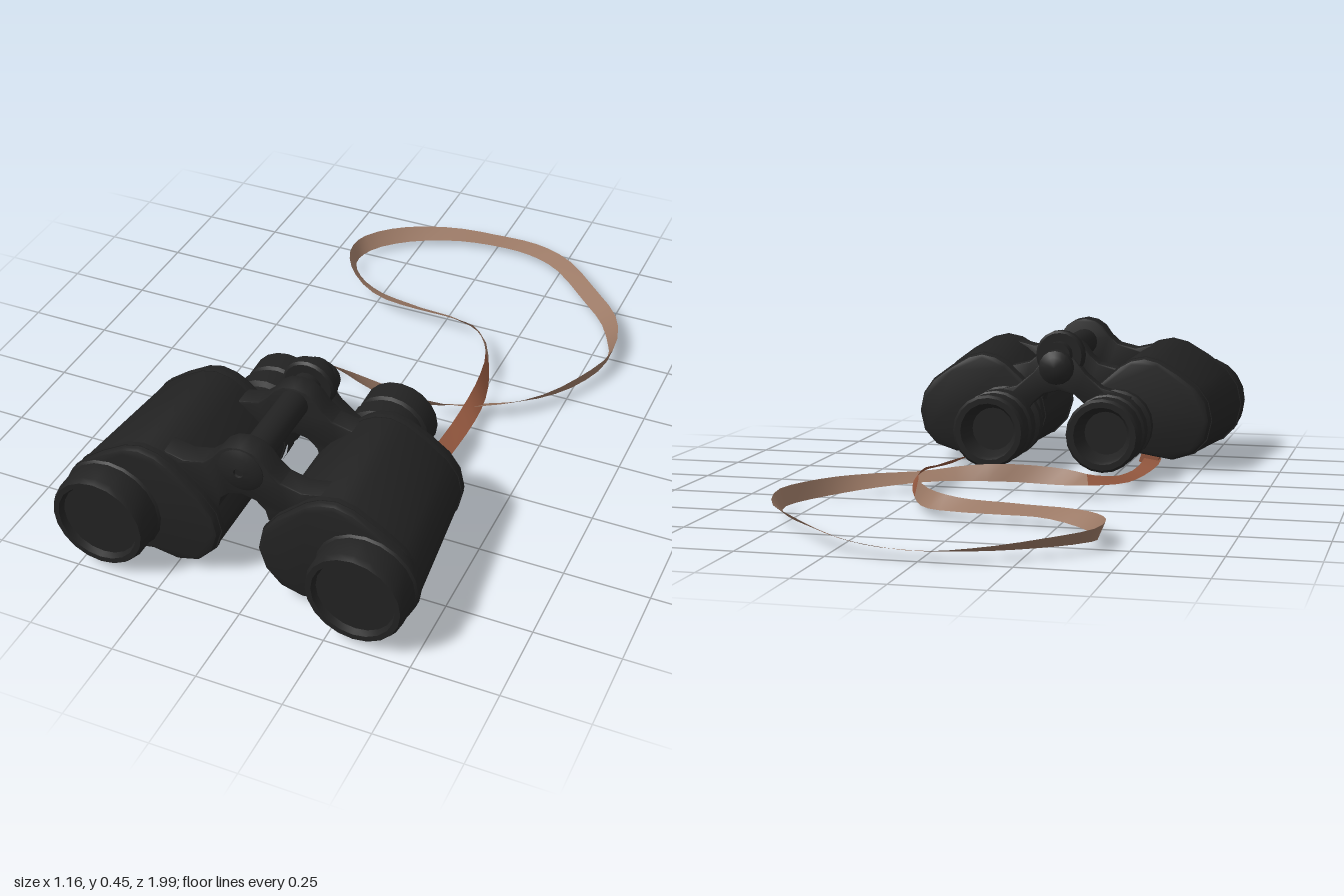
import * as THREE from 'three';
import { toCreasedNormals } from 'three/addons/utils/BufferGeometryUtils.js';

const CX = -0.05; // centre line of the two barrels

export function createModel() {
  const model = new THREE.Group();
  model.name = 'binocularsWithStrap';
  const mat = (name, color, side = THREE.FrontSide) => {
    const m = new THREE.MeshStandardMaterial({ color, side });
    m.name = name;
    return m;
  };
  const black = mat('blackBody', 0x222222);
  const tan = mat('tanLeather', 0x9a7864, THREE.DoubleSide);
  const russet = mat('russetLeather', 0x94583f, THREE.DoubleSide);

  const add = (name, geo, material = black, parent = model) => {
    const m = new THREE.Mesh(geo, material);
    m.name = name;
    parent.add(m);
    return m;
  };

  // turned part along z; profile is [radius, z], outside running towards +z
  const turned = (name, x, y, profile, sides = 20, parent = model) => {
    const g = new THREE.LatheGeometry(profile.map(([r, z]) => new THREE.Vector2(r, z)), sides);
    g.rotateX(Math.PI / 2).translate(x, y, 0);
    return add(name, toCreasedNormals(g, 0.6), black, parent);
  };

  // flat outline extruded from z0 to z1 with a small bevel
  const extruded = (pts, z0, z1, bevel) => {
    const shape = new THREE.Shape(pts.map(([x, y]) => new THREE.Vector2(x, y)));
    return new THREE.ExtrudeGeometry(shape, {
      depth: z1 - z0 - 2 * bevel, bevelEnabled: bevel > 0, bevelThickness: bevel,
      bevelSize: bevel, bevelOffset: -bevel, bevelSegments: 2,
    }).translate(0, 0, z0 + bevel);
  };

  // prism housing outline, [distance from centre line, y]
  const housingOutline = [
    [0.06, 0.165], [0.073, 0.225], [0.115, 0.28], [0.2, 0.355], [0.24, 0.378], [0.29, 0.388],
    [0.34, 0.376], [0.41, 0.335], [0.475, 0.287], [0.512, 0.235], [0.526, 0.17], [0.51, 0.1],
    [0.465, 0.05], [0.39, 0.026], [0.33, 0.035], [0.265, 0.046], [0.19, 0.034], [0.125, 0.052], [0.08, 0.1],
  ];
  // slice of the housing, narrowing towards the eyepieces
  const housingSlice = (side, z0, z1, bevel, grow) => {
    const pts = housingOutline.map(([u, y]) => [
      CX + side * (0.29 + (u - 0.29) * grow), 0.2 + (y - 0.2) * grow]);
    const g = extruded(pts, z0, z1, bevel);
    const p = g.attributes.position;
    const ax = CX + side * 0.07;
    for (let i = 0; i < p.count; i++) {
      const k = 1 - 0.1 * (0.88 - p.getZ(i)) / 0.44;
      p.setXY(i, ax + (p.getX(i) - ax) * k, 0.2 + (p.getY(i) - 0.2) * k);
    }
    return toCreasedNormals(g, 0.6);
  };

  for (const side of [-1, 1]) {
    const barrel = new THREE.Group();
    barrel.name = side < 0 ? 'rightBarrel' : 'leftBarrel';
    model.add(barrel);
    add('prismHousing', housingSlice(side, 0.435, 0.9, 0.015, 1), black, barrel);
    add('frontSeam', housingSlice(side, 0.86, 0.876, 0, 1.012), black, barrel);
    add('rearSeam', housingSlice(side, 0.464, 0.48, 0, 1.012), black, barrel);
    // objective tube with recessed lens
    turned('objective', CX + side * 0.381, 0.172, [
      [0.135, 0.85], [0.149, 0.875], [0.149, 0.9], [0.143, 0.906], [0.143, 0.972], [0.136, 0.99],
      [0.12, 0.99], [0.113, 0.972], [0, 0.972]], 20, barrel);
    // eyepiece with hollow cup
    turned('eyepiece', CX + side * 0.182, 0.152, [
      [0, 0.255], [0.068, 0.255], [0.082, 0.2], [0.09, 0.188], [0.108, 0.188], [0.116, 0.197],
      [0.114, 0.265], [0.105, 0.272], [0.105, 0.285], [0.117, 0.292], [0.117, 0.345], [0.102, 0.355],
      [0.102, 0.395], [0.118, 0.402], [0.118, 0.45]], 20, barrel);
  }

  // mirrored bridge plates joining the barrels
  const bridge = (name, half, z0, z1, dy) => {
    const right = half.map(([u, y]) => [CX + u, y + dy]);
    const left = half.slice(1, -1).reverse().map(([u, y]) => [CX - u, y + dy]);
    add(name, toCreasedNormals(extruded([...right, ...left], z0, z1, 0.005), 0.6));
  };
  const hingeHalf = [
    [0, 0.457], [0.035, 0.45], [0.062, 0.432], [0.085, 0.4], [0.115, 0.374], [0.175, 0.36], [0.24, 0.375],
    [0.245, 0.33], [0.14, 0.27], [0.075, 0.232], [0.066, 0.265], [0.04, 0.29], [0, 0.3]];
  bridge('frontBridge', hingeHalf, 0.785, 0.855, 0);
  bridge('rearBridge', hingeHalf, 0.465, 0.53, -0.03);
  bridge('eyepieceBridge', [
    [0, 0.38], [0.05, 0.365], [0.085, 0.32], [0.14, 0.275], [0.235, 0.25], [0.235, 0.18],
    [0.12, 0.17], [0.085, 0.22], [0.05, 0.25], [0, 0.262]], 0.39, 0.437, 0);

  // hinge rod, domed cap and focusing parts
  turned('hingeRod', CX, 0.378, [[0, 0.36], [0.043, 0.36], [0.043, 0.8], [0, 0.8]], 16);
  turned('hingeCap', CX, 0.385, [
    [0.07, 0.84], [0.066, 0.857], [0.045, 0.867], [0.014, 0.872], [0.012, 0.866], [0, 0.866]], 20);
  turned('focusWheel', CX, 0.375, [
    [0, 0.4], [0.072, 0.4], [0.079, 0.407], [0.079, 0.435], [0.072, 0.442], [0, 0.442]], 20);
  turned('focusKnob', CX, 0.342, [
    [0, 0.318], [0.035, 0.322], [0.054, 0.337], [0.057, 0.36], [0.046, 0.385], [0.035, 0.4]], 16);

  // strap path: x, y, z and tilt of the band from flat
  const path = [
    [-0.335, 0.035, 0.53, 0.2], [-0.35, 0.038, 0.36, 0.1], [-0.342, 0.042, 0.16, 0.1], [-0.312, 0.05, 0.02, 0.3],
    [-0.24, 0.06, -0.055, 0.5], [-0.13, 0.062, -0.03, 1.1], [0.01, 0.06, 0.0, 1.4], [0.14, 0.055, -0.005, 0.9],
    [0.27, 0.048, -0.06, 0.5], [0.42, 0.045, -0.165, 0.8], [0.52, 0.045, -0.31, 1.2], [0.567, 0.046, -0.47, 1.25],
    [0.51, 0.046, -0.64, 0.7], [0.4, 0.044, -0.765, 0.6], [0.25, 0.04, -0.91, 0.4], [0.13, 0.034, -0.965, 0.3],
    [0, 0.03, -0.974, 0.2], [-0.15, 0.036, -0.945, 0.4], [-0.3, 0.044, -0.865, 0.7], [-0.395, 0.046, -0.765, 0.9],
    [-0.412, 0.046, -0.675, 1.2], [-0.355, 0.046, -0.575, 0.9], [-0.24, 0.046, -0.495, 0.5],
    [-0.1, 0.046, -0.47, 0.5], [0.04, 0.048, -0.46, 0.6], [0.14, 0.052, -0.42, 1.0], [0.22, 0.057, -0.29, 1.35],
    [0.265, 0.064, -0.12, 0.9], [0.272, 0.058, 0.05, 0.4], [0.255, 0.045, 0.25, 0.5], [0.24, 0.036, 0.42, 0.3],
    [0.222, 0.024, 0.565, 0.1],
  ];
  const line = new THREE.CatmullRomCurve3(path.map(([x, y, z]) => new THREE.Vector3(x, y, z)));
  const tilts = new THREE.CatmullRomCurve3(path.map((p) => new THREE.Vector3(p[3], 0, 0)));
  const up = new THREE.Vector3(0, 1, 0);
  const ribbon = (name, t0, t1, steps, material) => {
    const pos = [], idx = [];
    for (let i = 0; i <= steps; i++) {
      const t = t0 + (t1 - t0) * i / steps;
      const c = line.getPoint(t), a = tilts.getPoint(t).x;
      const w = line.getTangent(t).cross(up).normalize().multiplyScalar(Math.cos(a))
        .addScaledVector(up, Math.sin(a)).multiplyScalar(0.027);
      pos.push(...c.clone().sub(w).toArray(), ...c.clone().add(w).toArray());
      const k = 2 * i;
      if (i < steps) idx.push(k, k + 1, k + 2, k + 1, k + 3, k + 2);
    }
    const g = new THREE.BufferGeometry();
    g.setAttribute('position', new THREE.Float32BufferAttribute(pos, 3));
    g.setIndex(idx);
    g.computeVertexNormals();
    add(name, g, material);
  };
  const n = path.length - 1;
  ribbon('strapRightEnd', 0, 4 / n, 10, russet);
  ribbon('strapLoop', 4 / n, 26 / n, 60, tan);
  ribbon('strapLeftEnd', 26 / n, 1, 14, russet);

  // folded leather keepers where the strap meets the housings
  for (const [x, y, z, tilt] of [[-0.33, 0.036, 0.5, 0.3], [0.222, 0.026, 0.545, 0.05]]) {
    const keeper = add('strapKeeper', new THREE.BoxGeometry(0.058, 0.034, 0.05), russet);
    keeper.position.set(x, y, z);
    keeper.rotation.z = tilt;
  }
  // strap lugs under the housings
  for (const [x, z] of [[-0.33, 0.5], [0.222, 0.53]]) {
    add('strapLug', new THREE.BoxGeometry(0.03, 0.04, 0.03)).position.set(x, 0.06, z);
  }
  return model;
}
